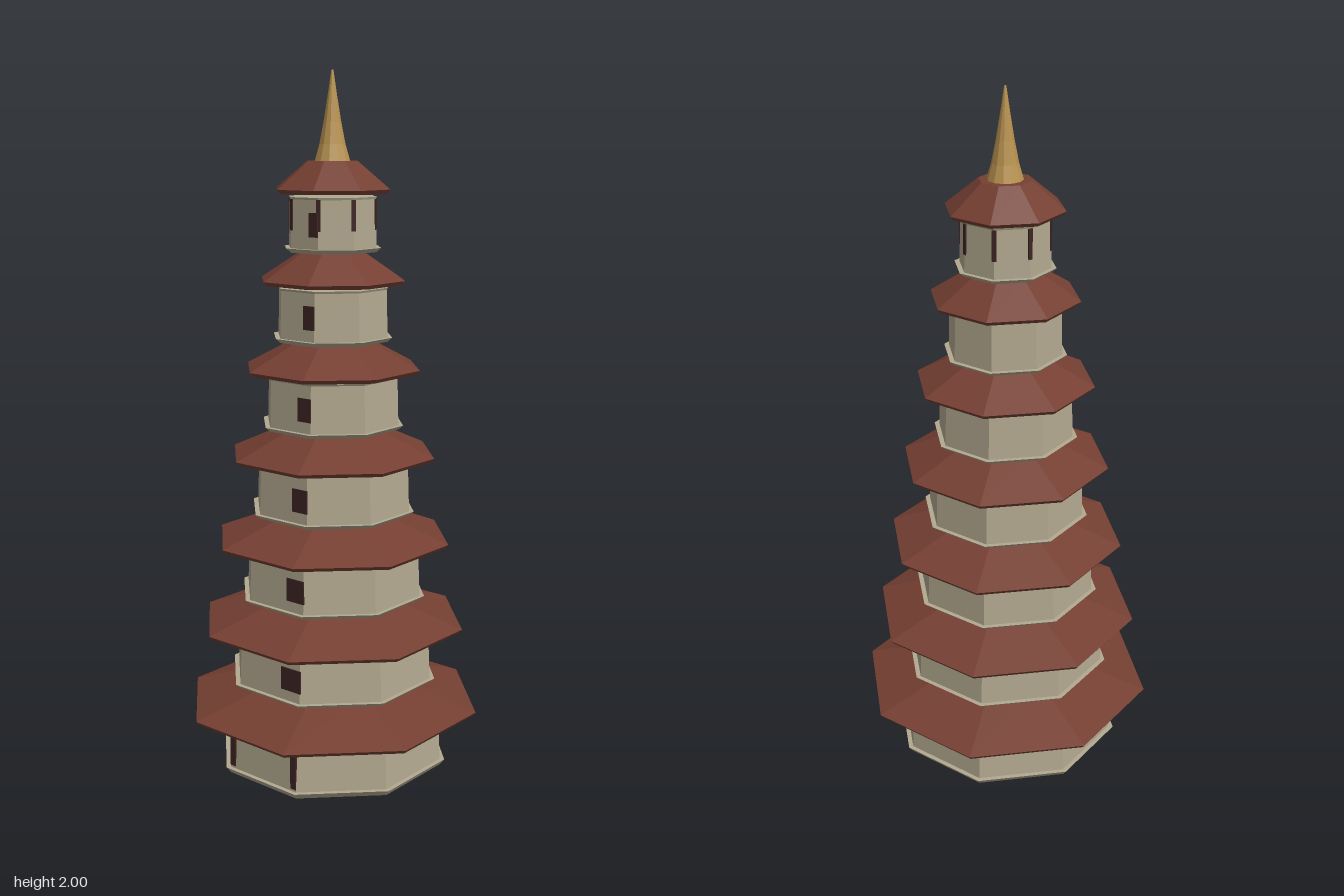
import * as THREE from 'three';

const mat = (name, color) => {
  const m = new THREE.MeshStandardMaterial({ color, flatShading: true });
  m.name = name;
  return m;
};

export function createModel() {
  const stone = mat('pale stone', 0xb3a990);
  const tile = mat('red clay tile', 0x753f32);
  const shutter = mat('shutter wood', 0x3e2424);
  const gold = mat('aged gold', 0xb8924f);

  const pagoda = new THREE.Group();
  pagoda.name = 'pagoda';
  const CORNER = Math.cos(Math.PI / 8);

  const add = (parent, name, geometry, material) => {
    const mesh = new THREE.Mesh(geometry, material);
    mesh.name = name;
    parent.add(mesh);
    return mesh;
  };

  // Octagonal frustum; widths are measured to the middle of a flat side
  const octagon = (parent, name, y0, y1, bottom, top, material) => {
    const g = new THREE.CylinderGeometry(top / CORNER, bottom / CORNER, y1 - y0, 8, 1, false, Math.PI / 8);
    add(parent, name, g, material).position.y = (y0 + y1) / 2;
  };

  // Seven storeys, each narrower than the one below
  const TIERS = 7;
  for (let i = 0; i < TIERS; i++) {
    const storey = new THREE.Group();
    storey.name = `storey${i + 1}`;
    storey.position.y = i * 0.25;
    pagoda.add(storey);

    const wall = 0.308 - i * 0.0315;
    const roof = 0.405 - i * 0.0417;

    // Flared plinth, tapering wall and thin cornice
    octagon(storey, 'plinth', i ? 0.006 : 0, 0.018, wall, wall + 0.013, stone);
    octagon(storey, 'wall', 0.018, 0.152, wall, wall * 0.98, stone);
    octagon(storey, 'cornice', 0.152, 0.158, wall * 0.98, wall, stone);

    // Undercut eave and sloping roof
    octagon(storey, 'eave', 0.167, 0.178, roof - 0.008, roof, tile);
    octagon(storey, 'roof', 0.178, 0.255, roof, roof * 0.44, tile);

    if (i === 0) {
      // Door posts at the two ends of the front side
      for (const side of [-1, 1]) {
        const post = add(storey, 'doorPost', new THREE.BoxGeometry(0.02, 0.12, 0.009), shutter);
        post.position.set(side * 0.117, 0.085, wall - 0.003);
      }
    } else {
      // Off-centre front window, standing just clear of the wall
      const window = add(storey, 'window', new THREE.BoxGeometry(wall * 0.255, 0.066, 0.004), shutter);
      window.position.set(wall * 0.318, 0.085, wall + 0.006);
    }

    if (i === TIERS - 1) {
      // Narrow slats sunk into the corners of the top storey
      for (let k = 0; k < 8; k++) {
        const a = Math.PI / 8 + (k * Math.PI) / 4;
        const slat = add(storey, 'cornerSlat', new THREE.BoxGeometry(0.012, 0.085, 0.008), shutter);
        const r = wall / CORNER - 0.005;
        slat.position.set(Math.sin(a) * r, 0.11, Math.cos(a) * r);
        slat.rotation.y = a;
      }
    }
  }

  // Tapering spire with a blunt tip
  const profile = [[0, 1.755], [0.05, 1.755], [0.037, 1.8], [0.025, 1.86], [0.012, 1.94], [0.003, 2], [0, 2]]
    .map(([r, y]) => new THREE.Vector2(r, y));
  add(pagoda, 'spire', new THREE.LatheGeometry(profile, 12), gold);

  return pagoda;
}
